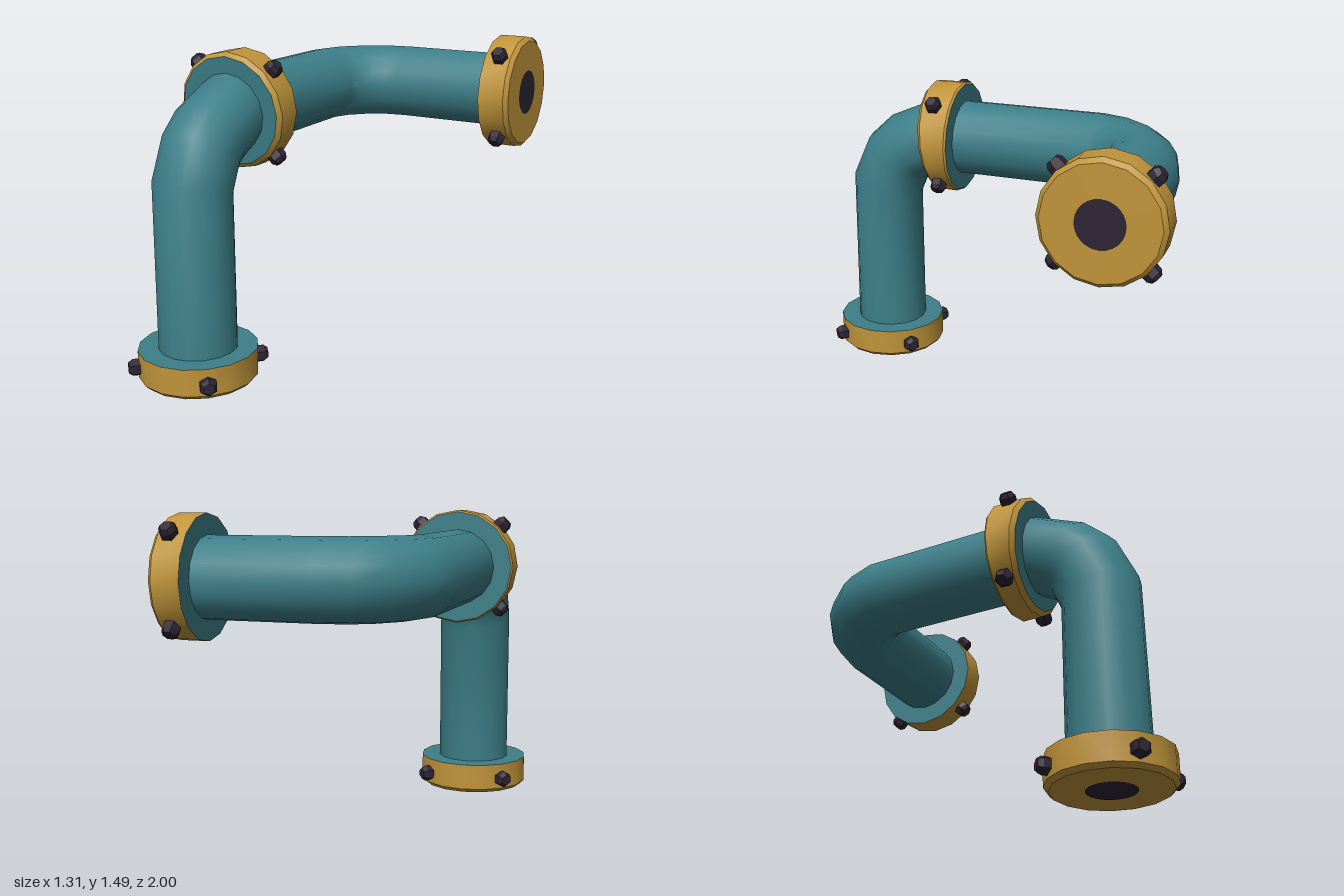
import * as THREE from 'three';
import { toCreasedNormals } from 'three/addons/utils/BufferGeometryUtils.js';

const SIDES = 16, PIPE_R = 0.185, RIM_R = 0.28, CHAMFER = 0.02;
const V = (x, y, z) => new THREE.Vector3(x, y, z);

// Skin a row of rings {c: centre, u, v: axes, r: radius}; u x v points along the row
function loft(rings) {
  const pos = [], index = [];
  for (const { c, u, v, r } of rings) {
    for (let j = 0; j < SIDES; j++) {
      const a = (j / SIDES) * Math.PI * 2;
      const p = c.clone().addScaledVector(u, r * Math.cos(a)).addScaledVector(v, r * Math.sin(a));
      pos.push(p.x, p.y, p.z);
    }
  }
  for (let i = 0; i < rings.length - 1; i++) {
    for (let j = 0; j < SIDES; j++) {
      const k = (j + 1) % SIDES, a = i * SIDES, b = a + SIDES;
      if (rings[i].r > 0) index.push(a + j, a + k, b + j);
      if (rings[i + 1].r > 0) index.push(a + k, b + k, b + j);
    }
  }
  const g = new THREE.BufferGeometry();
  g.setAttribute('position', new THREE.Float32BufferAttribute(pos, 3));
  g.setIndex(index);
  return toCreasedNormals(g, 0.6);
}

// Ring facing along t, with u perpendicular to it
function ring(c, t, u, r) {
  const n = t.clone().normalize();
  return { c, u, v: n.cross(u), r };
}

export function createModel() {
  const teal = new THREE.MeshStandardMaterial({ color: 0x3d7f89 });
  teal.name = 'teal paint';
  const gold = new THREE.MeshStandardMaterial({ color: 0xc0943a });
  gold.name = 'brass';
  const dark = new THREE.MeshStandardMaterial({ color: 0x2e2433 });
  dark.name = 'dark iron';

  const model = new THREE.Group();
  model.name = 'bentPipe';
  const add = (parent, name, geometry, material) => {
    const m = new THREE.Mesh(geometry, material);
    m.name = name;
    parent.add(m);
    return m;
  };

  // Pipe: centre and direction of each ring, from the foot to the far end
  const path = [
    [V(-0.375, 0.02, 0.72), V(0, 1, 0)],
    [V(-0.375, 0.915, 0.715), V(0, 0.96, -0.28)],
    [V(-0.375, 1.07, 0.645), V(0, 0.82, -0.57)],
    [V(-0.375, 1.13, 0.575), V(0, 0.57, -0.82)],
    [V(-0.375, 1.205, 0.41), V(0, 0.13, -0.99)],
    [V(-0.375, 1.205, 0.27), V(0, 0, -1)],
    [V(-0.37, 1.205, -0.43), V(0.11, 0, -0.99)],
    [V(-0.33, 1.205, -0.535), V(0.42, 0, -0.9)],
    [V(-0.235, 1.205, -0.64), V(0.7, 0, -0.7)],
    [V(-0.14, 1.205, -0.695), V(0.9, 0, -0.42)],
    [V(-0.005, 1.205, -0.72), V(0.99, 0, -0.1)],
    [V(0.63, 1.205, -0.72), V(1, 0, 0)],
  ];
  const u = V(1, 0, 0), last = V(0, 1, 0);
  const pipeRings = path.map(([c, t]) => {
    t.normalize();
    u.applyQuaternion(new THREE.Quaternion().setFromUnitVectors(last, t));
    last.copy(t);
    return ring(c, t, u.clone(), PIPE_R);
  });
  add(model, 'pipe', loft(pipeRings), teal);

  // Hexagonal bolt head, standing along y
  const boltGeo = new THREE.LatheGeometry(
    [[0.042, 0], [0.042, 0.055], [0.028, 0.075], [0, 0.075]].map(p => new THREE.Vector2(...p)), 6).toNonIndexed();
  boltGeo.computeVertexNormals();

  // Four bolts around a rim, set diagonally
  function addBolts(parent, c, t, side) {
    const up = t.clone().cross(side);
    for (let i = 0; i < 4; i++) {
      const a = Math.PI / 4 + (i * Math.PI) / 2;
      const out = side.clone().multiplyScalar(Math.cos(a)).addScaledVector(up, Math.sin(a));
      const bolt = add(parent, 'bolt', boltGeo, dark);
      bolt.quaternion.setFromRotationMatrix(new THREE.Matrix4().makeBasis(out.clone().cross(t), out, t));
      bolt.position.copy(c).addScaledVector(out, 0.25);
    }
  }

  // End flange: chamfered brass cap facing along t, teal collar face behind, dark bore plate
  function addEndFlange(name, end, t, side) {
    const g = new THREE.Group();
    g.name = name;
    model.add(g);
    const at = (d, r) => ring(end.clone().addScaledVector(t, -d), t, side, r);
    add(g, 'flangeRim', loft([at(0.15, RIM_R), at(CHAMFER, RIM_R), at(0, RIM_R - CHAMFER), at(0, 0)]), gold);
    add(g, 'collarFace', loft([at(0.15, PIPE_R - 0.01), at(0.15, RIM_R)]), teal);
    const bore = add(g, 'bore', new THREE.CircleGeometry(0.11, 24), dark);
    bore.quaternion.setFromUnitVectors(V(0, 0, 1), t);
    bore.position.copy(end).addScaledVector(t, 0.002);
    addBolts(g, end.clone().addScaledVector(t, -0.073), t, side);
  }
  addEndFlange('footFlange', V(-0.375, 0.002, 0.72), V(0, -1, 0), V(1, 0, 0));
  addEndFlange('outletFlange', V(0.65, 1.205, -0.72), V(1, 0, 0), V(0, 1, 0));

  // Middle flange: its front face leans with the bend, its back face is upright
  const mid = new THREE.Group();
  mid.name = 'middleFlange';
  model.add(mid);
  const X = V(1, 0, 0), lean = V(0, 0.107, -1), back = V(0, 0, -1);
  const front = (z, r) => ring(V(-0.375, 1.205, z), lean, X, r);
  const rear = (z, r) => ring(V(-0.375, 1.205, z), back, X, r);
  add(mid, 'flangeRim', loft([
    front(0.42, RIM_R - CHAMFER), front(0.4, RIM_R), rear(0.28, RIM_R), rear(0.27, RIM_R - 0.008),
  ]), gold);
  add(mid, 'frontFace', loft([front(0.42, PIPE_R - 0.01), front(0.42, RIM_R - CHAMFER)]), teal);
  add(mid, 'backFace', loft([rear(0.27, RIM_R - 0.008), rear(0.27, PIPE_R - 0.01)]), teal);
  addBolts(mid, V(-0.375, 1.205, 0.348), V(0, 0.053, -1).normalize(), X);

  return model;
}
